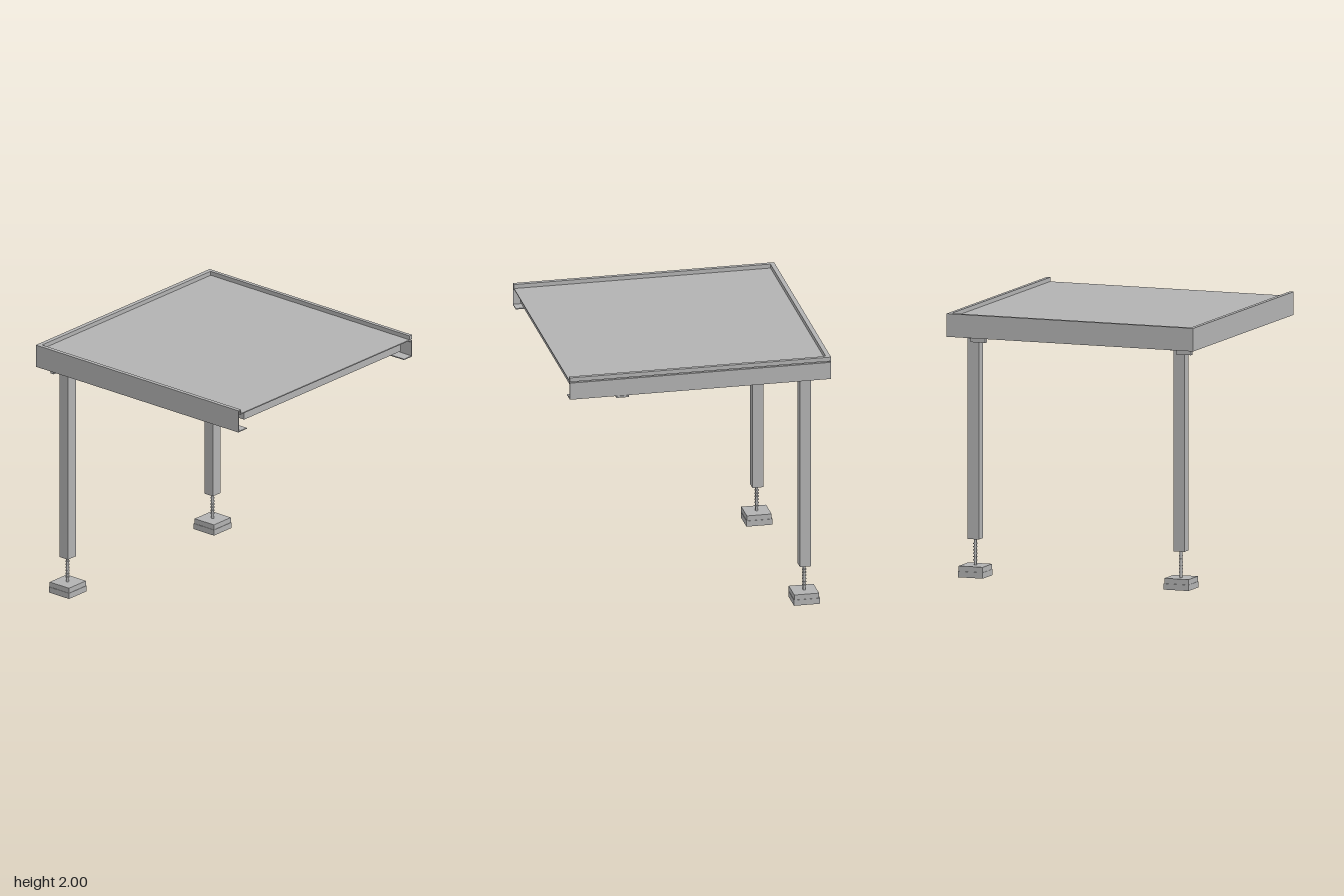
import * as THREE from 'three';

const steel = new THREE.MeshStandardMaterial({ color: 0xb2b2b2 });
steel.name = 'steelGrey';

// Box given by its limits on each axis
function box(parent, name, x0, x1, y0, y1, z0, z1) {
  const mesh = new THREE.Mesh(new THREE.BoxGeometry(x1 - x0, y1 - y0, z1 - z0), steel);
  mesh.position.set((x0 + x1) / 2, (y0 + y1) / 2, (z0 + z1) / 2);
  mesh.name = name;
  parent.add(mesh);
  return mesh;
}

function cylinder(parent, name, radius, y0, y1) {
  const mesh = new THREE.Mesh(new THREE.CylinderGeometry(radius, radius, y1 - y0, 12), steel);
  mesh.position.y = (y0 + y1) / 2;
  mesh.name = name;
  parent.add(mesh);
}

// Leg centred on its own axis, standing on y = 0
function createLeg() {
  const leg = new THREE.Group();
  leg.name = 'leg';
  box(leg, 'footBase', -0.1, 0.1, 0, 0.045, -0.1, 0.1);
  box(leg, 'footTop', -0.093, 0.097, 0.045, 0.085, -0.097, 0.097);
  cylinder(leg, 'levellingScrew', 0.011, 0.08, 0.3);
  for (let i = 0; i < 6; i++) {
    const y = 0.12 + i * 0.025;
    cylinder(leg, 'screwThread', 0.016, y, y + 0.007);
  }
  box(leg, 'post', -0.042, 0.042, 0.285, 1.825, -0.045, 0.045);
  box(leg, 'capPlate', -0.055, 0.055, 1.805, 1.845, -0.066, 0.066);
  box(leg, 'socket', -0.058, 0.058, 1.84, 1.965, -0.06, 0.06);
  box(leg, 'clampBlock', -0.075, -0.04, 1.78, 1.828, -0.01, 0.11);
  return leg;
}

export function createModel() {
  const model = new THREE.Group();
  model.name = 'deckModule';
  const t = 0.008; // sheet thickness

  // Deck sheet, open on the left end
  box(model, 'deck', -0.965, 0.998, 1.96, 1.968, -0.965, 0.965);

  // Front rail: outer web, raised lip and inward bottom flange
  box(model, 'frontWeb', -1, 1, 1.825, 2, 0.997 - t, 0.997);
  box(model, 'frontLip', -1, 1, 2 - t, 2, 0.965, 0.995);
  box(model, 'frontLipReturn', -1, 1, 1.96, 2, 0.965, 0.965 + t);
  box(model, 'frontFlange', -1, 1, 1.825, 1.825 + t, 0.9, 0.995);

  // Back rail, with a narrow groove under the lip
  box(model, 'backWeb', -1, 1, 1.825, 1.958, -0.994, -0.994 + t);
  box(model, 'backLip', -1, 1, 1.968, 2, -0.994, -0.965);
  box(model, 'backGroove', -1, 1, 1.95, 1.97, -0.98, -0.965);
  box(model, 'backFlange', -1, 1, 1.825, 1.825 + t, -0.992, -0.9);

  // Closed end rail
  box(model, 'endWeb', -1, -1 + t, 1.825, 2, -0.994, 0.997);
  box(model, 'endLip', -1, -0.965, 2 - t, 2, -0.994, 0.997);
  box(model, 'endLipReturn', -0.965 - t, -0.965, 1.96, 2, -0.965, 0.965);
  box(model, 'endFlange', -1, -0.9, 1.825, 1.825 + t, -0.99, 0.99);

  // Cross beams under the deck
  for (const x of [-0.93, -0.015, 0.935]) {
    box(model, 'crossBeam', x - 0.035, x + 0.035, 1.89, 1.962, -0.895, 0.895);
  }

  // Latch plate under the back rail
  box(model, 'latchPlate', 0.55, 0.645, 1.812, 1.825, -1, -0.89);

  // Legs, corner braces and underside pads
  for (const side of [1, -1]) {
    const leg = createLeg();
    leg.position.set(-0.83, 0, side * 0.83);
    model.add(leg);

    const brace = box(model, 'cornerBrace', -0.22, 0.22, 1.835, 1.86, -0.012, 0.012);
    brace.position.x = -0.82;
    brace.position.z = side * 0.82;
    brace.rotation.y = -side * Math.PI / 4;

    const z = side * 0.65;
    box(model, 'undersidePad', -0.75, -0.55, 1.953, 1.961, z - 0.1, z + 0.1);
  }
  return model;
}
